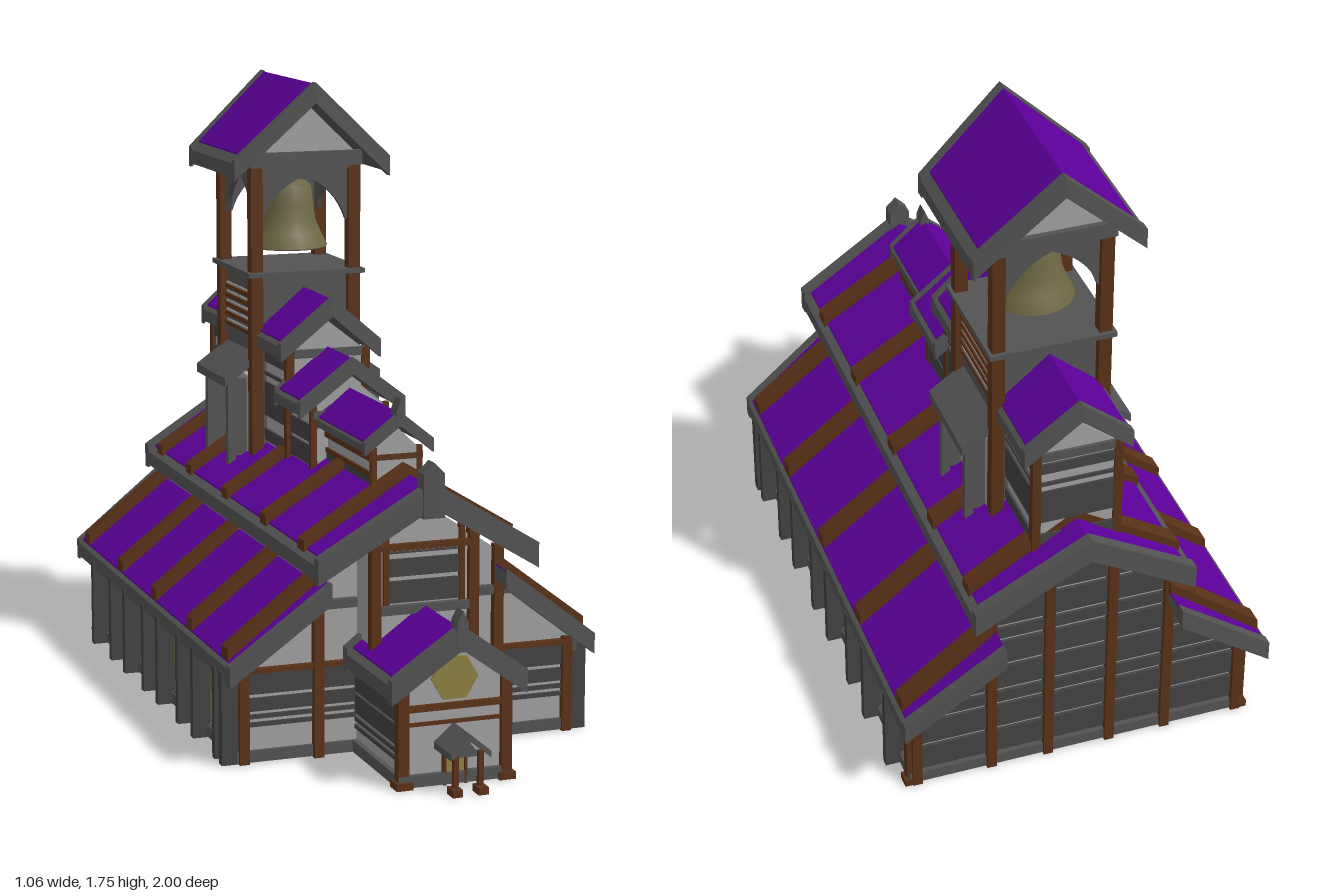
import * as THREE from 'three';
import { ConvexGeometry } from 'three/addons/geometries/ConvexGeometry.js';

export function createModel() {
  const root = new THREE.Group();
  root.name = 'timberChurch';
  const mat = (name, color, extra = {}) => new THREE.MeshStandardMaterial({ name, color, ...extra });
  const purple = mat('roofPurple', 0x5d009b), stone = mat('stoneGrey', 0x535353), plank = mat('plankGrey', 0x424242);
  const plaster = mat('plaster', 0xa0a0a0), wood = mat('wood', 0x5a3118), glass = mat('windowYellow', 0x8b8043);
  const bronze = mat('bronze', 0x6e6946, { side: THREE.DoubleSide }), floorMat = mat('floorOlive', 0x766a20);

  const add = (name, geo, m) => {
    const mesh = new THREE.Mesh(geo, m);
    mesh.name = name;
    root.add(mesh);
    return mesh;
  };
  // Box given by its limits on each axis
  const box = (name, m, x0, x1, y0, y1, z0, z1) => {
    const g = new THREE.BoxGeometry(x1 - x0, y1 - y0, z1 - z0);
    g.translate((x0 + x1) / 2, (y0 + y1) / 2, (z0 + z1) / 2);
    return add(name, g, m);
  };
  // The same box on both sides of the building
  const pair = (name, m, x0, x1, ...r) => {
    box(name, m, x0, x1, ...r);
    box(name, m, -x1, -x0, ...r);
  };
  const post = (x, z, y0, y1, w = 0.035) => pair('post', wood, x - w / 2, x + w / 2, y0, y1, z - w / 2, z + w / 2);
  // Outline extruded along z
  const prism = (name, m, pts, z0, z1) => {
    const s = new THREE.Shape(pts.map(p => new THREE.Vector2(...p)));
    const g = new THREE.ExtrudeGeometry(s, { depth: z1 - z0, bevelEnabled: false });
    g.translate(0, 0, z0);
    return add(name, g, m);
  };
  const house = (name, m, w, y0, h, peak, z0, z1) =>
    prism(name, m, [[-w, y0], [w, y0], [w, h], [0, peak], [-w, h]], z0, z1);

  // Piece of both roof slopes: s runs from ridge (0) to eave (1)
  const piece = (name, m, r, s0, s1, zA, zB, lo, hi) => {
    for (const side of [1, -1]) {
      const pts = [];
      for (const s of [s0, s1]) for (const zf of [zA, zB]) for (const o of [lo, hi])
        pts.push(new THREE.Vector3(side * (r.xi + (r.xo - r.xi) * s), r.yi + (r.yo - r.yi) * s + o, zf(s)));
      add(name, new ConvexGeometry(pts), m);
    }
  };
  const roof = (name, o) => {
    const r = { xi: 0, flare: 0.02, t: 0.04, trim: 0.03, edge: 0.1, board: 0.009, ...o };
    const f = d => s => r.zf - r.flare * s - d, b = d => s => r.zb + r.flare * s + d;
    piece(name + 'Slab', stone, r, 0, 1, f(0), b(0), -r.t, 0);
    piece(name + 'Covering', purple, r, 0, 1 - r.edge, f(r.trim), b(r.trim), -0.005, 0.005);
    piece(name + 'FrontBoard', stone, r, 0, 1, f(0), f(r.trim), -r.t - 0.01, r.board);
    piece(name + 'BackBoard', stone, r, 0, 1, b(0), b(r.trim), -r.t - 0.01, r.board);
    return r;
  };
  const finial = (y0, y1, z, w = 0.022) =>
    prism('ridgeFinial', stone, [[-w, y0], [w, y0], [w, y1 - 0.03], [0, y1], [-w, y1 - 0.03]], z - 0.045, z);

  // Floor
  box('base', stone, -0.49, 0.49, 0.003, 0.035, -0.89, 0.54);
  box('porchBase', stone, -0.16, 0.16, 0.003, 0.035, 0.54, 0.89);
  box('underside', plaster, -0.485, 0.485, 0.001, 0.004, -0.885, 0.535);
  box('porchUnderside', plaster, -0.155, 0.155, 0.001, 0.004, 0.535, 0.885);
  box('floorStrip', floorMat, -0.24, 0.24, 0, 0.004, -0.88, 0.53);

  // Main hall
  prism('hallWalls', plaster, [[-0.475, 0.02], [0.475, 0.02], [0.475, 0.27], [0.265, 0.435], [0.265, 0.53],
    [0, 0.71], [-0.265, 0.53], [-0.265, 0.435], [-0.475, 0.27]], -0.875, 0.53);
  const lower = roof('lowerRoof', { xi: 0.25, yi: 0.492, xo: 0.527, yo: 0.28, zf: 0.63, zb: -1.0, flare: 0.028, edge: 0.04 });
  const upper = roof('upperRoof', { yi: 0.757, xo: 0.314, yo: 0.565, zf: 0.725, zb: -0.958, flare: 0.025, edge: 0.07, trim: 0.035, board: 0.02 });
  finial(0.68, 0.83, 0.728, 0.03);
  for (const z of [0.52, 0.195, -0.157, -0.51, -0.885])
    piece('roofBatten', wood, lower, 0, 0.96, () => z + 0.027, () => z - 0.027, -0.01, 0.036);
  for (const z of [0.52, 0.2, -0.155, -0.51, -0.81])
    piece('roofBatten', wood, upper, 0, 0.96, () => z + 0.027, () => z - 0.027, -0.01, 0.03);

  // Long side walls: windows between buttresses, posts between bays
  pair('wallPlate', stone, 0.47, 0.5, 0.225, 0.27, -0.88, 0.54);
  pair('sill', stone, 0.47, 0.485, 0.02, 0.04, -0.88, 0.54);
  for (const z of [0.358, 0.013, -0.333, -0.685]) {
    pair('sideWindow', glass, 0.47, 0.479, 0.04, 0.182, z - 0.088, z + 0.088);
    for (const d of [-0.1, 0.1]) pair('buttress', plank, 0.47, 0.53, 0, 0.258, z + d - 0.012, z + d + 0.012);
  }
  for (const z of [0.2, -0.157, -0.51, -0.875]) {
    post(0.485, z, 0, 0.27, 0.025);
    pair('postFoot', wood, 0.47, 0.505, 0, 0.02, z - 0.02, z + 0.02);
  }
  pair('frontCorner', plank, 0.46, 0.53, 0, 0.26, 0.505, 0.535);

  // Front wall of the hall
  for (const [a, b] of [[0.1, 0.112], [0.122, 0.134], [0.143, 0.18], [0.19, 0.25]])
    pair('frontPlank', plank, 0.15, 0.47, a, b, 0.525, 0.537);
  pair('frontBeam', wood, 0.15, 0.48, 0.25, 0.263, 0.525, 0.55);
  pair('frontTie', stone, 0.15, 0.3, 0.41, 0.435, 0.525, 0.55);
  post(0.26, 0.54, 0, 0.55, 0.028);
  post(0.47, 0.535, 0, 0.27, 0.028);

  // Back wall: planks that narrow with the gable
  const halfWidth = y => y < 0.27 ? 0.47 : y < 0.45 ? 0.47 - (y - 0.27) * 1.15 : y < 0.54 ? 0.262 : 0.265 * (0.72 - y) / 0.18;
  for (let y = 0.045, i = 0; y < 0.66; i++) {
    const h = i % 3 === 2 ? 0.035 : 0.075, w = halfWidth(y), top = halfWidth(y + h);
    prism('backPlank', plank, [[-w, y], [w, y], [top, y + h], [-top, y + h]], -0.885, -0.87);
    y += h + 0.013;
  }
  for (const [x, h] of [[0.47, 0.28], [0.255, 0.53], [0.09, 0.65]]) post(x, -0.885, 0, h, 0.027);

  // Upper front bay standing over the porch
  house('bayWalls', plaster, 0.145, 0.25, 0.6, 0.705, 0.5, 0.65);
  for (const [a, b] of [[0.44, 0.5], [0.512, 0.56], [0.575, 0.58]]) box('bayPlank', plank, -0.11, 0.11, a, b, 0.64, 0.657);
  post(0.14, 0.655, 0.3, 0.63, 0.028);
  post(0.108, 0.652, 0.42, 0.65, 0.016);
  box('bayBeam', wood, -0.14, 0.14, 0.585, 0.602, 0.645, 0.668);
  box('bayBeam', stone, -0.14, 0.14, 0.41, 0.435, 0.645, 0.668);

  // Porch
  house('porchWalls', plaster, 0.145, 0.02, 0.27, 0.38, 0.5, 0.875);
  roof('porchRoof', { yi: 0.425, xo: 0.19, yo: 0.288, zf: 0.935, zb: 0.53, flare: 0.015, board: 0.016 });
  finial(0.37, 0.48, 0.937, 0.016);
  for (const [a, b] of [[0.067, 0.078], [0.088, 0.1], [0.11, 0.165], [0.172, 0.235]])
    pair('porchPlank', plank, 0.14, 0.152, a, b, 0.53, 0.87);
  post(0.145, 0.875, 0, 0.3, 0.03);
  pair('postFoot', wood, 0.122, 0.168, 0, 0.02, 0.85, 0.9);
  box('porchBeam', wood, -0.145, 0.145, 0.205, 0.222, 0.86, 0.888);
  box('porchBeam', wood, -0.145, 0.145, 0.165, 0.175, 0.86, 0.882);
  const hex = new THREE.CylinderGeometry(0.066, 0.066, 0.008, 6);
  hex.rotateY(Math.PI / 6).rotateX(Math.PI / 2).translate(0, 0.288, 0.877);
  add('hexagonWindow', hex, glass);

  // Small entrance canopy
  box('door', glass, -0.026, 0.026, 0.003, 0.095, 0.87, 0.884);
  pair('doorFrame', wood, 0.026, 0.034, 0, 0.1, 0.87, 0.89);
  house('canopyGable', stone, 0.03, 0.098, 0.108, 0.145, 0.88, 0.97);
  piece('canopyRoof', stone, { xi: 0, yi: 0.165, xo: 0.056, yo: 0.118 }, 0, 1, () => 1, () => 0.87, -0.018, 0);
  post(0.035, 0.975, 0, 0.115, 0.014);
  pair('postFoot', wood, 0.022, 0.05, 0, 0.02, 0.955, 0.998);

  // Stepped ridge chapels, front to back
  house('frontChapel', plaster, 0.068, 0.65, 0.81, 0.875, 0.08, 0.445);
  roof('frontChapelRoof', { yi: 0.912, xo: 0.1, yo: 0.832, zf: 0.478, zb: 0.05, flare: 0.01, t: 0.02, trim: 0.016, edge: 0.06 });
  finial(0.88, 0.955, 0.48, 0.012);
  post(0.066, 0.443, 0.66, 0.82, 0.016);
  pair('chapelBeam', wood, 0.06, 0.075, 0.738, 0.752, 0.08, 0.445);
  pair('chapelBeam', wood, 0.06, 0.078, 0.783, 0.802, 0.08, 0.445);
  pair('chapelPlank', plank, 0.06, 0.072, 0.69, 0.738, 0.08, 0.44);
  box('chapelBeam', wood, -0.07, 0.07, 0.785, 0.8, 0.435, 0.452);

  house('middleChapel', plaster, 0.11, 0.6, 0.86, 0.95, -0.12, 0.072);
  roof('middleChapelRoof', { yi: 1.0, xo: 0.158, yo: 0.88, zf: 0.107, zb: -0.14, flare: 0.008, t: 0.03, trim: 0.018, edge: 0.07 });
  for (const [a, b] of [[0.7, 0.755], [0.765, 0.815]]) pair('chapelPlank', plank, 0.1, 0.116, a, b, -0.12, 0.068);
  post(0.108, 0.068, 0.66, 0.87, 0.018);
  box('chapelBeam', stone, -0.11, 0.11, 0.835, 0.856, 0.06, 0.08);

  house('rearChapel', plaster, 0.115, 0.55, 0.99, 1.08, -0.835, -0.115);
  roof('rearChapelRoof', { yi: 1.143, xo: 0.152, yo: 1.015, zf: -0.068, zb: -0.865, flare: 0.015, t: 0.035, trim: 0.025, edge: 0.08 });
  for (const [a, b] of [[0.7, 0.735], [0.775, 0.875], [0.895, 0.905], [0.935, 0.965]]) {
    pair('chapelPlank', plank, 0.105, 0.122, a, b, -0.835, -0.12);
    box('chapelPlank', plank, -0.11, 0.11, a, b, -0.842, -0.83);
  }
  for (const z of [-0.12, -0.832]) {
    post(0.115, z, 0.6, 1.0, 0.024);
    box('chapelBeam', stone, -0.115, 0.115, 0.975, 1.0, z - 0.012, z + 0.012);
  }

  // Bell tower body
  const tz = -0.47;
  box('towerBody', stone, -0.145, 0.145, 0.55, 1.19, tz - 0.145, tz + 0.145);
  box('towerLedge', stone, -0.178, 0.178, 1.186, 1.2, tz - 0.18, tz + 0.18);
  for (const z of [tz - 0.15, tz + 0.15]) post(0.15, z, 0.62, 1.51, 0.036);
  for (const y of [1.005, 1.035, 1.062, 1.09, 1.117]) {
    pair('towerSlat', wood, 0.14, 0.153, y, y + 0.011, tz - 0.135, tz + 0.135);
    pair('towerStripe', plaster, 0.14, 0.149, y + 0.012, y + 0.018, tz - 0.135, tz + 0.135);
  }

  // Balcony doors with shed roofs on both sides of the tower
  pair('balconyWall', plaster, 0.13, 0.165, 0.6, 0.89, tz - 0.13, tz + 0.13);
  pair('balconyDoor', glass, 0.16, 0.169, 0.71, 0.855, tz - 0.092, tz + 0.092);
  piece('shedRoof', stone, { xi: 0.14, yi: 0.96, xo: 0.242, yo: 0.888 }, 0, 1, () => tz + 0.14, () => tz - 0.14, -0.025, 0);
  for (const d of [-0.1, 0.1]) {
    pair('shedPost', stone, 0.2, 0.224, 0.6, 0.885, tz + d - 0.011, tz + d + 0.011);
    pair('shedBracket', stone, 0.15, 0.205, 0.65, 0.88, tz + d - 0.006, tz + d + 0.006);
  }

  // Open belfry: a pointed arch panel on each face
  for (let i = 0; i < 4; i++) {
    const s = new THREE.Shape();
    s.moveTo(-0.14, 1.51);
    s.lineTo(-0.14, 1.345);
    s.lineTo(-0.128, 1.345);
    s.quadraticCurveTo(-0.1, 1.435, 0, 1.475);
    s.quadraticCurveTo(0.1, 1.435, 0.128, 1.345);
    s.lineTo(0.14, 1.345);
    s.lineTo(0.14, 1.51);
    const g = new THREE.ExtrudeGeometry(s, { depth: 0.016, bevelEnabled: false, curveSegments: 8 });
    g.translate(0, 0, 0.136).rotateY(i * Math.PI / 2).translate(0, 0, tz);
    add('belfryArch', g, stone);
  }
  box('belfryCeiling', stone, -0.165, 0.165, 1.495, 1.515, tz - 0.165, tz + 0.165);
  house('belfryGable', plaster, 0.16, 1.51, 1.535, 1.69, tz - 0.165, tz + 0.165);
  for (const z of [tz - 0.17, tz + 0.17]) box('belfryTie', stone, -0.17, 0.17, 1.505, 1.548, z - 0.012, z + 0.012);
  roof('towerRoof', { yi: 1.745, xo: 0.237, yo: 1.525, zf: -0.21, zb: -0.718, flare: 0.03, trim: 0.03, edge: 0.1 });

  // Bell
  const bellPts = [[0.001, 1.445], [0.055, 1.445], [0.07, 1.432], [0.076, 1.38], [0.083, 1.33], [0.098, 1.295], [0.118, 1.255], [0.112, 1.25], [0.09, 1.28], [0.07, 1.33]];
  const bell = add('bell', new THREE.LatheGeometry(bellPts.map(p => new THREE.Vector2(...p)).reverse(), 20), bronze);
  bell.position.z = tz;
  box('bellHanger', bronze, -0.012, 0.012, 1.44, 1.47, tz - 0.02, tz + 0.02);

  return root;
}
